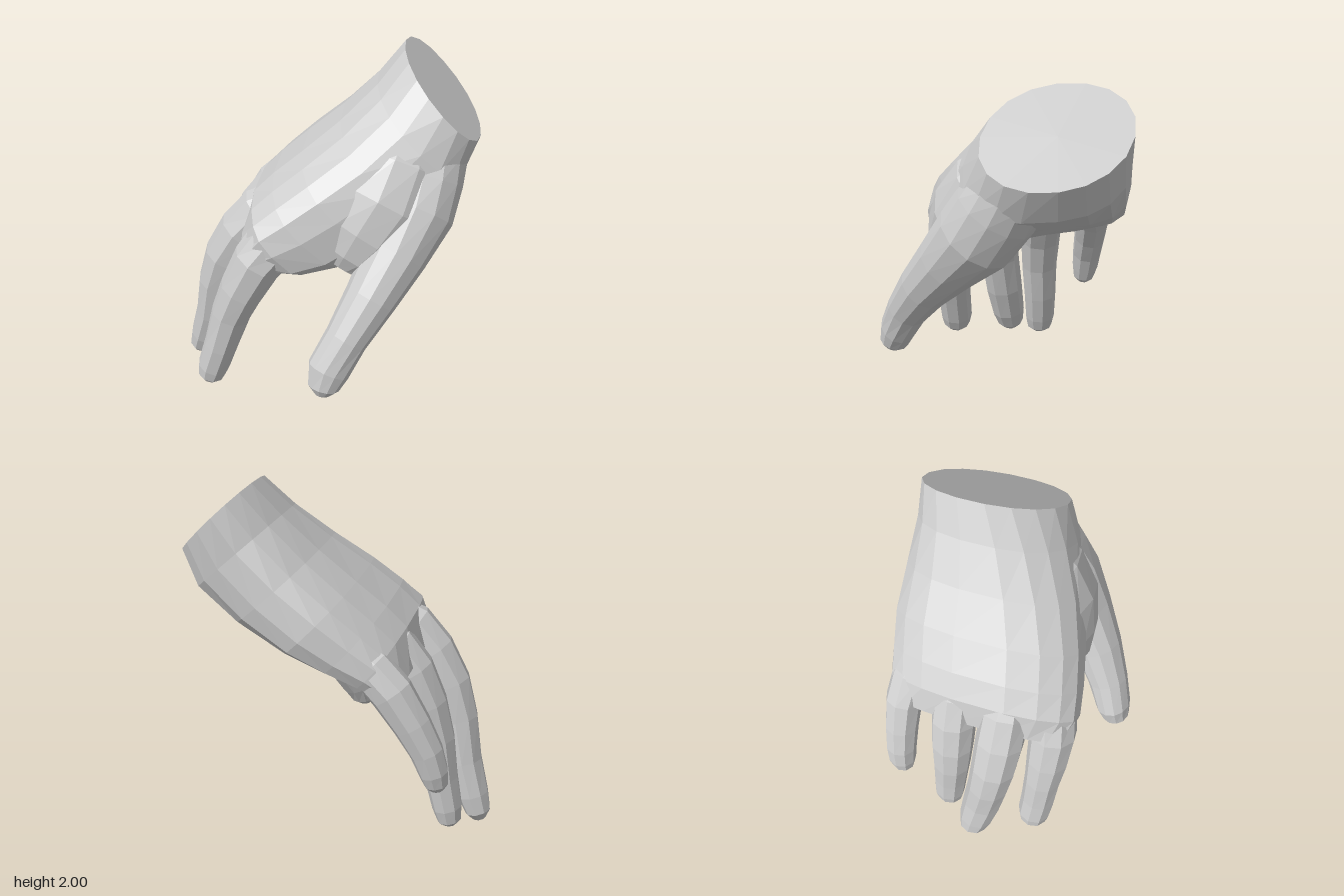
import * as THREE from 'three';

const material = new THREE.MeshStandardMaterial({ color: 0xcccccc, flatShading: true });

// Skin a list of equal-sized rings (counter-clockwise about the path) and close both ends.
function loft(name, rings) {
  const n = rings[0].length, pos = [], index = [];
  rings.forEach(r => r.forEach(p => pos.push(p.x, p.y, p.z)));
  for (let i = 0; i < rings.length - 1; i++) {
    for (let j = 0; j < n; j++) {
      const k = (j + 1) % n, a = i * n + j, b = i * n + k;
      index.push(a, b, b + n, a, b + n, a + n);
    }
  }
  const last = (rings.length - 1) * n, c = rings.length * n;
  for (const r of [rings[0], rings[rings.length - 1]]) {
    const m = r.reduce((s, p) => s.add(p), new THREE.Vector3()).divideScalar(n);
    pos.push(m.x, m.y, m.z);
  }
  for (let j = 0; j < n; j++) {
    const k = (j + 1) % n;
    index.push(c, k, j, c + 1, last + j, last + k);
  }
  const geo = new THREE.BufferGeometry();
  geo.setAttribute('position', new THREE.Float32BufferAttribute(pos, 3));
  geo.setIndex(index);
  geo.computeVertexNormals();
  const mesh = new THREE.Mesh(geo, material);
  mesh.name = name;
  return mesh;
}

// Limb along stations [x, y, z, half width, half thickness].
function digit(name, stations, sides = 9) {
  const pts = stations.map(s => new THREE.Vector3(s[0], s[1], s[2]));
  const rings = pts.map((p, i) => {
    const t = pts[Math.min(i + 1, pts.length - 1)].clone().sub(pts[Math.max(i - 1, 0)]).normalize();
    const a = new THREE.Vector3(0, 0, 1).addScaledVector(t, -t.z).normalize();
    const b = t.clone().cross(a);
    return Array.from({ length: sides }, (_, j) => {
      const q = (j + 0.5) / sides * Math.PI * 2;
      return p.clone().addScaledVector(a, Math.cos(q) * stations[i][3]).addScaledVector(b, Math.sin(q) * stations[i][4]);
    });
  });
  return loft(name, rings);
}

// Palm sections: [back x, y, palm side x, y, z min, z max, hollow, tilt, drop, skew]
function palm() {
  const sections = [
    [0.41, 2.00, 0.85, 1.58, -0.64, 0.11, 0, 0, 0, 0.08],
    [0.27, 1.83, 0.78, 1.38, -0.65, 0.20, 0.02, 0.02, 0, 0.05],
    [0.08, 1.65, 0.57, 1.20, -0.68, 0.30, 0.08, 0.06, 0.02, 0.02],
    [-0.12, 1.49, 0.32, 1.04, -0.70, 0.37, 0.13, 0.11, 0.04, 0],
    [-0.28, 1.36, 0.12, 0.94, -0.68, 0.41, 0.11, 0.13, 0.06, 0],
    [-0.39, 1.25, -0.08, 0.89, -0.66, 0.43, 0.06, 0.10, 0.07, 0],
    [-0.45, 1.06, -0.27, 0.89, -0.63, 0.38, 0, 0.04, 0.04, 0],
  ];
  const sides = 18;
  return loft('palm', sections.map(([tx, ty, bx, by, z0, z1, hollow, tilt, drop, skew], i) => {
    const mid = new THREE.Vector3((tx + bx) / 2, (ty + by) / 2, (z0 + z1) / 2);
    const up = new THREE.Vector3(tx - bx, ty - by, 0).multiplyScalar(0.5);
    const back = up.clone().normalize();
    const half = (z1 - z0) / 2, e = Math.max(0.74, 0.95 - i * 0.07);
    const curve = v => Math.sign(v) * Math.abs(v) ** e;
    return Array.from({ length: sides }, (_, j) => {
      const q = j / sides * Math.PI * 2, c = curve(Math.cos(q)), s = curve(Math.sin(q));
      const p = mid.clone().addScaledVector(up, s);
      p.z += c * half - s * skew;
      // hollow of the palm, thinner on the little finger side, and the back sloping down to it
      if (s < 0) p.addScaledVector(back, -s * (hollow * (1 - c * c) ** 1.5 - tilt * c));
      if (s > 0 && c < 0) p.addScaledVector(back, drop * c * s);
      return p;
    });
  }));
}

export function createModel() {
  const hand = new THREE.Group();
  hand.name = 'hand';
  hand.add(
    palm(),
    // muscle and web filling the space between thumb and index finger
    digit('thumbWeb', [
      [0.48, 1.66, -0.09, 0.14, 0.14],
      [0.42, 1.46, 0.05, 0.22, 0.26],
      [0.34, 1.28, 0.17, 0.21, 0.29],
      [0.24, 1.13, 0.25, 0.16, 0.26],
      [0.17, 1.02, 0.29, 0.11, 0.18],
      [0.13, 0.96, 0.31, 0.05, 0.10],
    ], 12),
    digit('thumb', [
      [0.60, 1.60, -0.08, 0.18, 0.16],
      [0.595, 1.50, -0.03, 0.21, 0.19],
      [0.57, 1.39, 0.03, 0.225, 0.20],
      [0.52, 1.23, 0.13, 0.225, 0.21],
      [0.42, 1.04, 0.28, 0.18, 0.175],
      [0.30, 0.84, 0.42, 0.145, 0.145],
      [0.18, 0.64, 0.53, 0.12, 0.12],
      [0.09, 0.47, 0.60, 0.105, 0.12],
      [0.065, 0.37, 0.63, 0.085, 0.09],
      [0.06, 0.325, 0.64, 0.045, 0.045],
    ], 12),
    digit('indexFinger', [
      [-0.08, 1.20, 0.22, 0.11, 0.13],
      [-0.24, 1.08, 0.28, 0.135, 0.155],
      [-0.33, 0.96, 0.305, 0.135, 0.145],
      [-0.43, 0.76, 0.305, 0.125, 0.13],
      [-0.505, 0.58, 0.30, 0.11, 0.115],
      [-0.575, 0.35, 0.295, 0.105, 0.10],
      [-0.63, 0.18, 0.285, 0.10, 0.095],
      [-0.65, 0.11, 0.285, 0.085, 0.08],
      [-0.66, 0.07, 0.285, 0.045, 0.045],
    ]),
    digit('middleFinger', [
      [-0.16, 1.22, 0.02, 0.11, 0.12],
      [-0.34, 1.11, 0.03, 0.135, 0.155],
      [-0.46, 0.98, 0.03, 0.14, 0.145],
      [-0.57, 0.80, 0.02, 0.132, 0.13],
      [-0.64, 0.60, 0.00, 0.122, 0.112],
      [-0.69, 0.35, -0.03, 0.118, 0.10],
      [-0.75, 0.15, -0.06, 0.105, 0.092],
      [-0.785, 0.05, -0.075, 0.085, 0.075],
      [-0.795, 0.005, -0.075, 0.045, 0.04],
    ]),
    digit('ringFinger', [
      [-0.14, 1.20, -0.26, 0.11, 0.11],
      [-0.30, 1.10, -0.26, 0.125, 0.145],
      [-0.40, 0.98, -0.255, 0.13, 0.135],
      [-0.49, 0.79, -0.25, 0.125, 0.12],
      [-0.55, 0.58, -0.25, 0.113, 0.108],
      [-0.59, 0.35, -0.26, 0.103, 0.096],
      [-0.63, 0.17, -0.265, 0.095, 0.086],
      [-0.645, 0.09, -0.265, 0.08, 0.07],
      [-0.65, 0.06, -0.265, 0.045, 0.04],
    ]),
    digit('littleFinger', [
      [-0.08, 1.18, -0.50, 0.10, 0.09],
      [-0.25, 1.09, -0.54, 0.11, 0.12],
      [-0.36, 0.98, -0.56, 0.105, 0.12],
      [-0.47, 0.81, -0.56, 0.097, 0.105],
      [-0.55, 0.66, -0.555, 0.09, 0.092],
      [-0.59, 0.54, -0.55, 0.082, 0.08],
      [-0.605, 0.47, -0.545, 0.067, 0.065],
      [-0.61, 0.435, -0.545, 0.035, 0.035],
    ]),
  );
  return hand;
}
